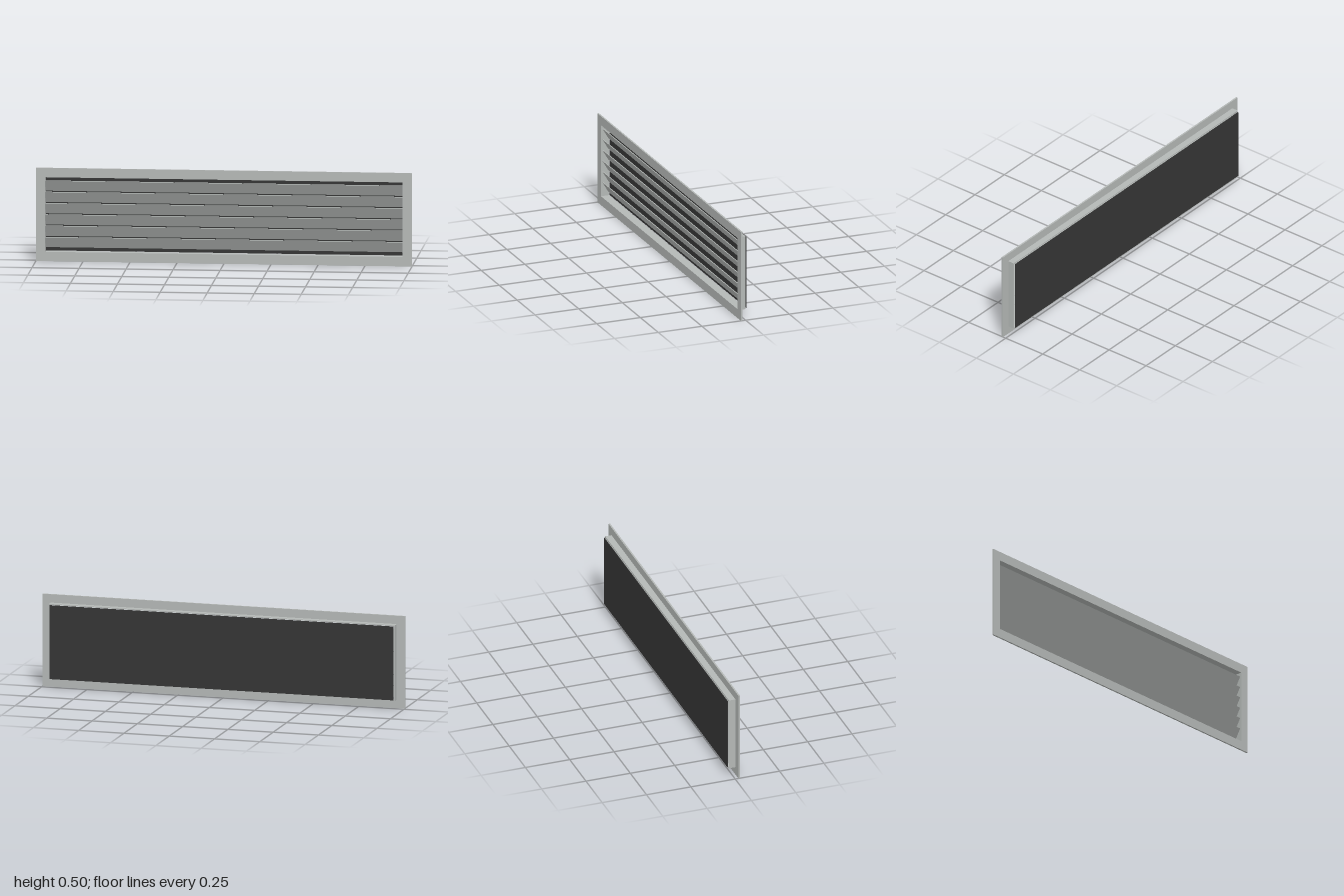
import * as THREE from 'three';

// Rectangular ring centred on the origin, extruded along +z
function ring(w, h, innerW, innerH, depth) {
  const rect = (T, a, b) => {
    const s = new T();
    s.moveTo(-a / 2, -b / 2);
    s.lineTo(a / 2, -b / 2);
    s.lineTo(a / 2, b / 2);
    s.lineTo(-a / 2, b / 2);
    s.closePath();
    return s;
  };
  const shape = rect(THREE.Shape, w, h);
  shape.holes.push(rect(THREE.Path, innerW, innerH));
  return new THREE.ExtrudeGeometry(shape, { depth, bevelEnabled: false });
}

export function createModel() {
  const group = new THREE.Group();
  const metal = new THREE.MeshStandardMaterial({ color: 0xb4b8b6 });
  metal.name = 'greyMetal';
  const dark = new THREE.MeshStandardMaterial({ color: 0x353535 });
  dark.name = 'darkBacking';

  const midY = 0.25, openW = 1.9, openH = 0.4;
  const add = (name, geometry, material, y, z) => {
    const mesh = new THREE.Mesh(geometry, material);
    mesh.name = name;
    mesh.position.set(0, y, z);
    group.add(mesh);
    return mesh;
  };

  // Flat front flange and the thin sleeve behind it
  add('frontFlange', ring(2, 0.5, openW, openH, 0.009), metal, midY, 0.018);
  add('sleeve', ring(1.91, 0.41, openW, openH, 0.036), metal, midY, -0.018);

  // Six louvre slats, front edge high and back edge low
  const pitch = 0.0605, rise = 0.058, run = 0.034, thickness = 0.004;
  const slat = new THREE.BoxGeometry(openW, Math.hypot(rise, run), thickness);
  for (let i = 0; i < 6; i++) {
    const mesh = add('slat' + (i + 1), slat, metal, midY + (i - 2.5) * pitch, 0);
    mesh.rotation.x = Math.atan2(run, rise);
  }

  // Dark sheet set just behind the sleeve
  add('backSheet', new THREE.BoxGeometry(openW, openH, 0.003), dark, midY, -0.0245);

  return group;
}
